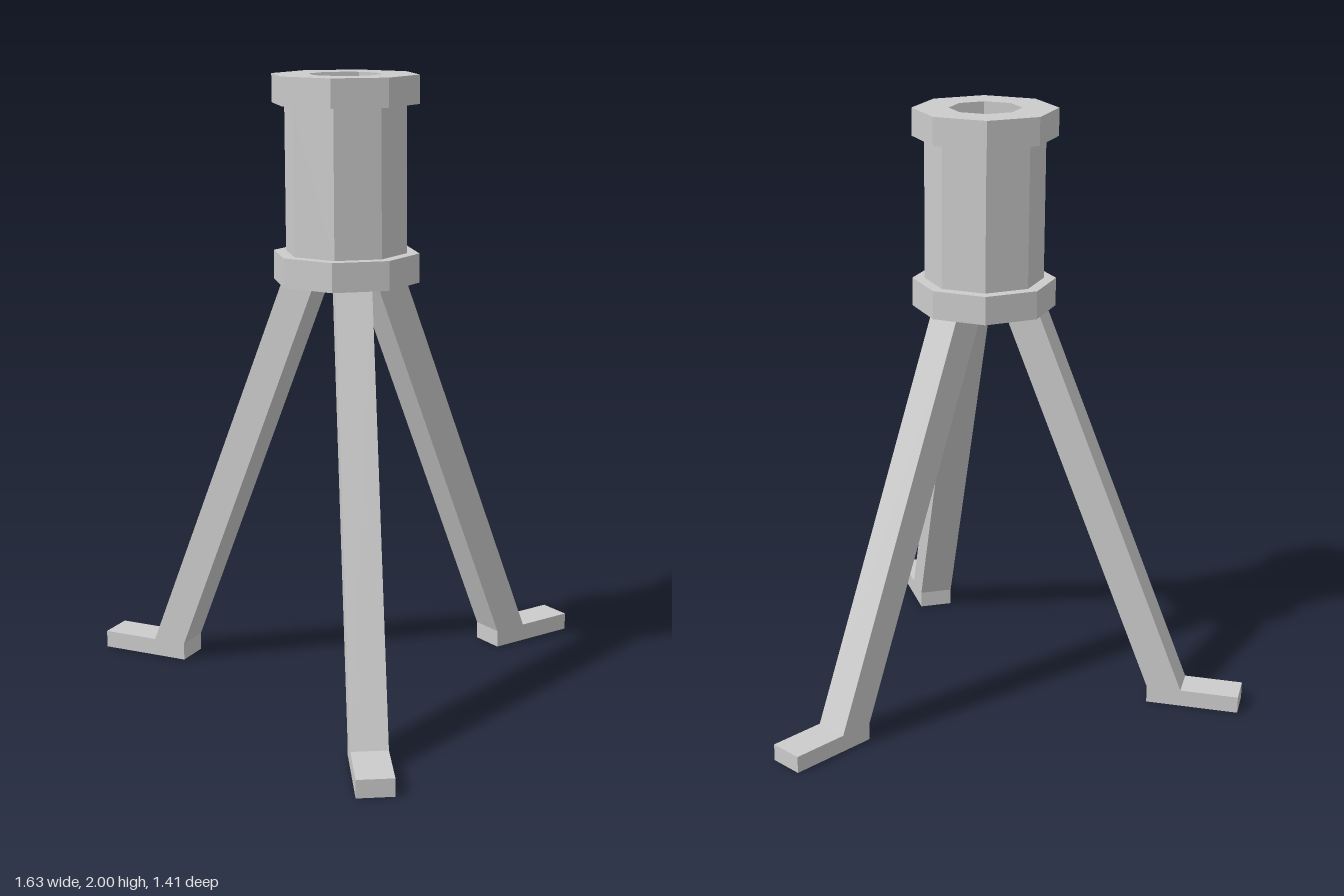
import * as THREE from 'three';
import { mergeGeometries } from 'three/addons/utils/BufferGeometryUtils.js';

const material = new THREE.MeshStandardMaterial({
  color: 0xcccccc, flatShading: true, side: THREE.DoubleSide,
});
const points = (list) => list.map(([x, y]) => new THREE.Vector2(x, y));

// Folded strip following a path, spanning the width of a leg
function strip(path, width) {
  const g = new THREE.PlaneGeometry(1, width, path.length - 1, 1);
  const p = g.attributes.position;
  for (let i = 0; i < p.count; i++) {
    const [x, y] = path[i % path.length];
    p.setXYZ(i, x, y, i < path.length ? -width / 2 : width / 2);
  }
  return g;
}

// Hollow leg with an outward foot, open at the top and under the foot
function legGeometry() {
  const width = 0.115;
  const inner = [[0.595, 0], [0.595, 0.057], [0.077, 1.357]];
  const outer = [[0.905, 0], [0.905, 0.057], [0.71, 0.057], [0.192, 1.357]];
  const outline = new THREE.Shape(points([...inner, ...[...outer].reverse()]));
  const sides = [-1, 1].map((s) =>
    new THREE.ShapeGeometry(outline).translate(0, 0, s * width / 2));
  const leg = mergeGeometries([...sides, strip(inner, width), strip(outer, width)]);
  leg.computeVertexNormals();
  return leg.translate(0, 0, -0.008);
}

export function createModel() {
  const model = new THREE.Group();
  model.name = 'tripodStand';
  model.position.set(-0.005, 0, 0.195);

  // Octagonal hollow hub with a flange at each end
  const hub = new THREE.Mesh(new THREE.LatheGeometry(points([
    [0.117, 1.35], [0.235, 1.35], [0.235, 1.443], [0.195, 1.443],
    [0.195, 1.91], [0.235, 1.91], [0.235, 2], [0.117, 2],
  ]), 8), material);
  hub.name = 'hub';
  model.add(hub);

  // Three splayed legs, one to the back and two to the front
  const geometry = legGeometry();
  ['backLeg', 'frontRightLeg', 'frontLeftLeg'].forEach((name, i) => {
    const leg = new THREE.Mesh(geometry, material);
    leg.name = name;
    leg.rotation.y = Math.PI / 2 + i * Math.PI * 2 / 3;
    model.add(leg);
  });

  const root = new THREE.Group();
  root.name = 'stand';
  root.add(model);
  return root;
}
